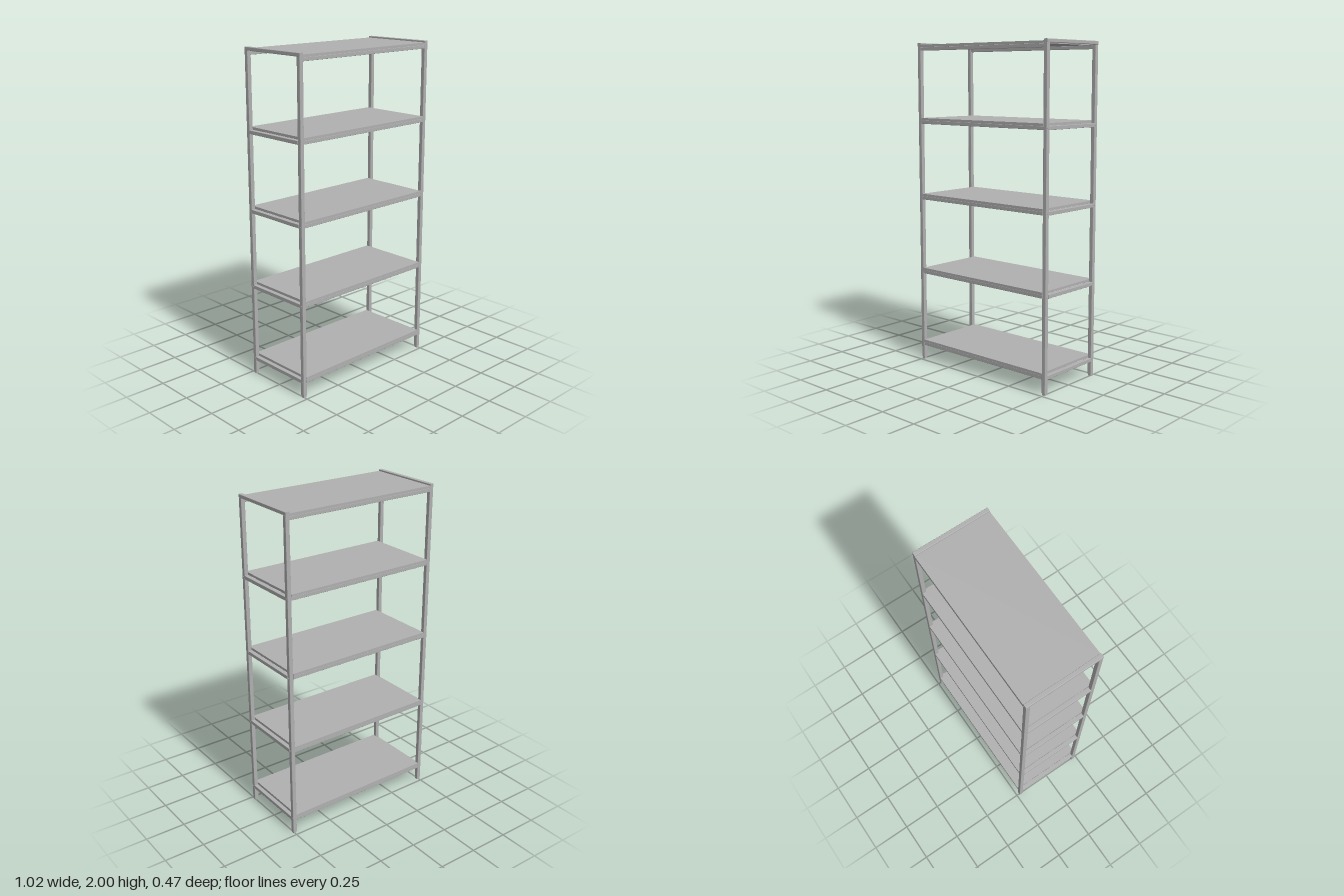
import * as THREE from 'three';

const W = 0.51, D = 0.233, T = 0.025; // half width, half depth, tube size

export function createModel() {
  const steel = new THREE.MeshStandardMaterial({ color: 0xb0b0b0 });
  steel.name = 'grey steel';
  const model = new THREE.Group();
  model.name = 'shelfUnit';

  const add = (name, geometry, x, y, z, parent = model) => {
    const mesh = new THREE.Mesh(geometry, steel);
    mesh.name = name;
    mesh.position.set(x, y, z);
    parent.add(mesh);
    return mesh;
  };

  // Square tube with softened corners, running along +z and centred
  const tube = (w, h, length, r = 0.003) => {
    const a = w / 2, b = h / 2;
    const s = new THREE.Shape();
    s.moveTo(-a + r, -b);
    s.lineTo(a - r, -b);
    s.quadraticCurveTo(a, -b, a, -b + r);
    s.lineTo(a, b - r);
    s.quadraticCurveTo(a, b, a - r, b);
    s.lineTo(-a + r, b);
    s.quadraticCurveTo(-a, b, -a, b - r);
    s.lineTo(-a, -b + r);
    s.quadraticCurveTo(-a, -b, -a + r, -b);
    return new THREE.ExtrudeGeometry(s, { depth: length, bevelEnabled: false, curveSegments: 3 })
      .translate(0, 0, -length / 2);
  };

  const px = W - T / 2, pz = D - T / 2;
  const innerW = 2 * (W - T), innerD = 2 * (D - T);

  // Posts, feet and the top bars joining each pair of posts
  const postGeo = tube(T, T, 1.968).rotateX(-Math.PI / 2);
  const footGeo = new THREE.BoxGeometry(0.019, 0.012, 0.019);
  const topBarGeo = tube(T, 0.02, 2 * D);
  for (const sx of [-1, 1]) {
    for (const sz of [-1, 1]) {
      add('post', postGeo, sx * px, 0.996, sz * pz);
      add('foot', footGeo, sx * px, 0.006, sz * pz);
    }
    add('topEndBar', topBarGeo, sx * px, 1.99, 0);
  }

  // Shelves: a thin panel over long rails, with end rails below the top level
  const panelGeo = new THREE.BoxGeometry(innerW, 0.015, 2 * D);
  const longRailGeo = tube(0.02, 0.021, innerW, 0.002).rotateY(Math.PI / 2);
  const endRailGeo = tube(T, 0.022, innerD, 0.002);
  const boltGeo = new THREE.CylinderGeometry(0.005, 0.005, 0.003, 12);
  [0.128, 0.6, 1.073, 1.545, 1.99].forEach((top, i) => {
    const shelf = new THREE.Group();
    shelf.name = 'shelf';
    shelf.position.y = top;
    model.add(shelf);
    add('panel', panelGeo, 0, -0.0075, 0, shelf);
    for (const s of [-1, 1]) {
      add('longRail', longRailGeo, 0, -0.0255, s * (D - 0.011), shelf);
      if (i === 4) continue;
      add('endRail', endRailGeo, s * px, -0.026, 0, shelf);
      for (const t of [-1, 1]) {
        add('sideBolt', boltGeo, s * W, -0.026, t * pz, shelf).rotation.z = Math.PI / 2;
      }
    }
  });
  return model;
}
